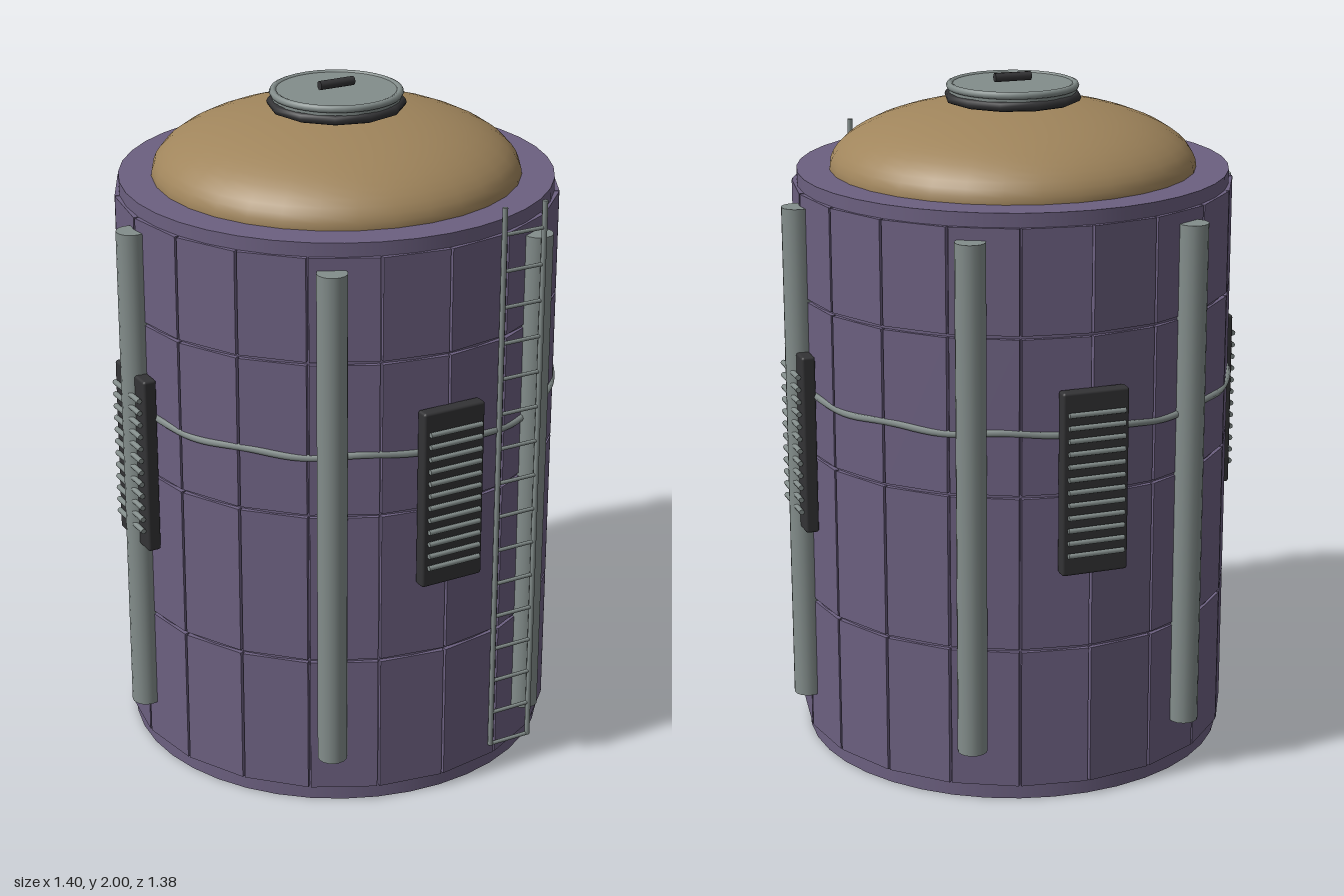
import * as THREE from 'three';
import { RoundedBoxGeometry } from 'three/addons/geometries/RoundedBoxGeometry.js';

const paint = (name, color) => {
  const m = new THREE.MeshStandardMaterial({ color });
  m.name = name;
  return m;
};

export function createModel() {
  const purple = paint('purple hull', 0x6c6080);
  const tan = paint('tan dome', 0xa0855c);
  const grey = paint('grey metal', 0x838d8b);
  const dark = paint('dark trim', 0x333335);

  const root = new THREE.Group();
  root.name = 'storageTank';

  const add = (parent, name, geo, mat, x = 0, y = 0, z = 0) => {
    const mesh = new THREE.Mesh(geo, mat);
    mesh.name = name;
    mesh.position.set(x, y, z);
    parent.add(mesh);
    return mesh;
  };
  const group = (name, parent = root) => {
    const g = new THREE.Group();
    g.name = name;
    parent.add(g);
    return g;
  };

  // Cylindrical core
  add(root, 'core', new THREE.CylinderGeometry(0.63, 0.63, 1.73, 40), purple, 0, 0.865, 0);

  // Flat cladding panels: 4 rows of 20, separated by narrow gaps
  const cladding = group('cladding');
  const rows = [[0.045, 0.46], [0.47, 0.92], [0.93, 1.38], [1.39, 1.69]];
  for (const [y0, y1] of rows) {
    const geo = new THREE.BoxGeometry(0.194, y1 - y0, 0.02);
    geo.translate(0, 0, 0.627);
    for (let i = 0; i < 20; i++) {
      const panel = add(cladding, 'panel', geo, purple, 0, (y0 + y1) / 2, 0);
      panel.rotation.y = ((i + 0.5) * Math.PI) / 10;
    }
  }

  // Shallow elliptical dome
  const dome = new THREE.SphereGeometry(0.535, 32, 16, 0, Math.PI * 2, 0, Math.PI / 2);
  dome.scale(1, 0.195 / 0.535, 1);
  add(root, 'dome', dome, tan, 0, 1.73, 0);

  // Hatch on top: seal, lid with raised rim, bar handle
  const hatch = group('hatch');
  const seal = add(hatch, 'seal', new THREE.TorusGeometry(0.187, 0.014, 8, 12), dark, 0, 1.933, 0);
  seal.rotation.x = Math.PI / 2;
  add(hatch, 'lid', new THREE.CylinderGeometry(0.185, 0.185, 0.045, 32), grey, 0, 1.9475, 0);
  const rim = add(hatch, 'lidRim', new THREE.TorusGeometry(0.182, 0.011, 8, 32), grey, 0, 1.964, 0);
  rim.rotation.x = Math.PI / 2;
  const handle = add(hatch, 'handle', new THREE.CylinderGeometry(0.013, 0.013, 0.11, 10), dark, 0, 1.987, 0);
  handle.rotation.z = Math.PI / 2;

  // Six vertical pipes around the hull
  const pipes = group('pipes');
  const pipeGeo = new THREE.CylinderGeometry(0.043, 0.043, 1.495, 16);
  for (let i = 0; i < 6; i++) {
    const a = (i * Math.PI) / 3;
    add(pipes, 'pipe', pipeGeo, grey, 0.655 * Math.cos(a), 0.9075, 0.655 * Math.sin(a));
  }

  // Four louvred vents, one on each side
  const frameGeo = new RoundedBoxGeometry(0.196, 0.535, 0.04, 2, 0.008);
  const slatGeo = new THREE.CylinderGeometry(0.008, 0.008, 0.166, 8);
  slatGeo.rotateZ(Math.PI / 2);
  for (let i = 0; i < 4; i++) {
    const vent = group('vent');
    vent.rotation.y = (i * Math.PI) / 2;
    add(vent, 'ventFrame', frameGeo, dark, 0, 0.967, 0.656);
    for (let k = 0; k < 12; k++) {
      add(vent, 'slat', slatGeo, grey, 0, 0.762 + k * 0.0373, 0.684);
    }
  }

  // Slightly wavy cable wrapped around the hull
  const cablePoints = [];
  for (let i = 0; i < 80; i++) {
    const a = (i * Math.PI) / 40;
    cablePoints.push(new THREE.Vector3(
      0.64 * Math.sin(a), 1.108 + 0.005 * Math.sin(a * 12), 0.64 * Math.cos(a)));
  }
  const cablePath = new THREE.CatmullRomCurve3(cablePoints, true);
  add(root, 'cable', new THREE.TubeGeometry(cablePath, 160, 0.01, 6, true), grey);

  // Ladder on the front
  const ladder = group('ladder');
  const railGeo = new THREE.CylinderGeometry(0.008, 0.008, 1.69, 8);
  for (const x of [0.18, 0.31]) add(ladder, 'rail', railGeo, grey, x, 0.925, 0.622);
  const rungGeo = new THREE.CylinderGeometry(0.006, 0.006, 0.13, 8);
  rungGeo.rotateZ(Math.PI / 2);
  for (let i = 0; i < 16; i++) {
    add(ladder, 'rung', rungGeo, grey, 0.245, 0.082 + i * 0.1073, 0.622);
  }

  return root;
}
